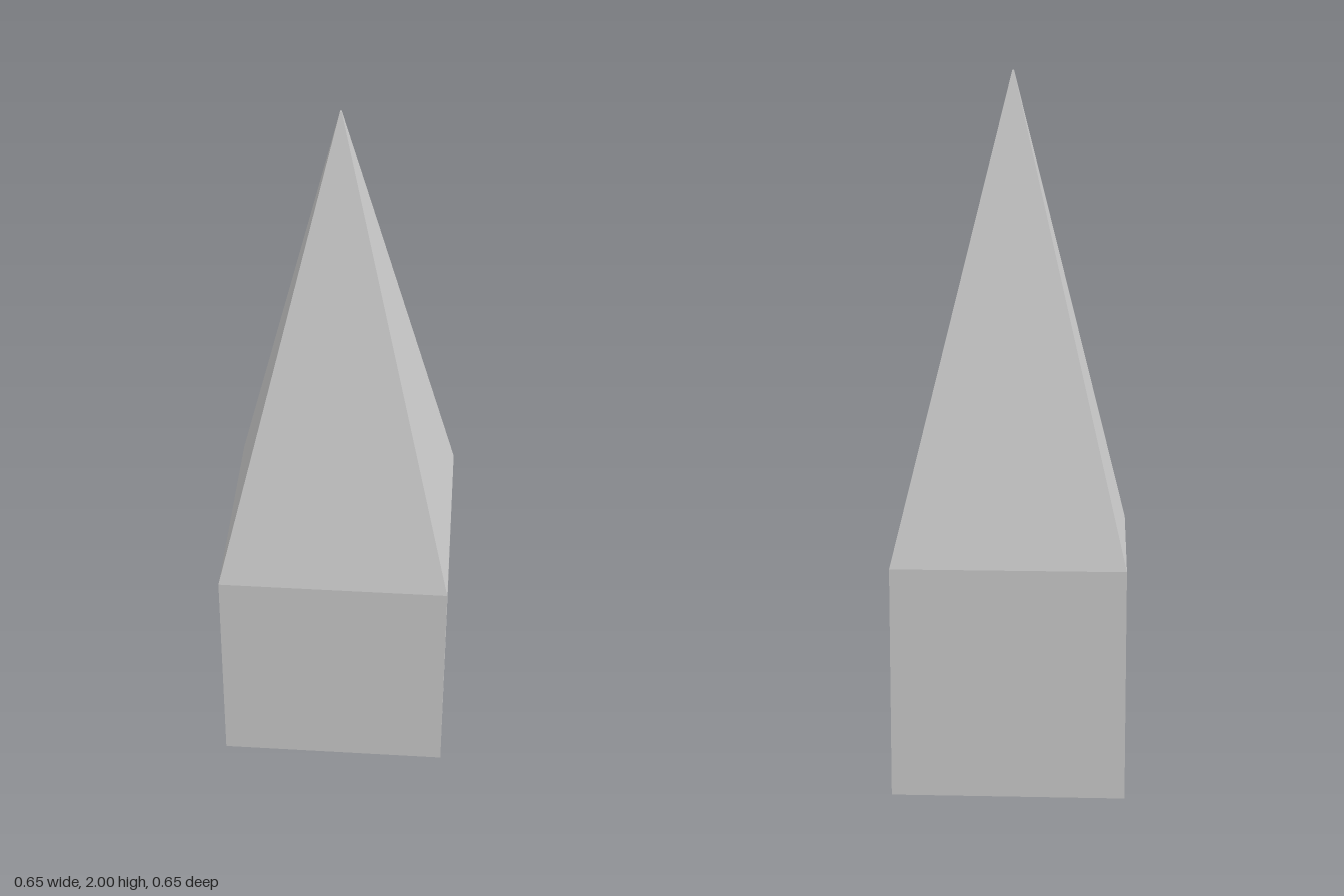
import * as THREE from 'three';

const HALF = 0.326; // half the width of the square plan
const BASE_HEIGHT = 0.653;
const TOTAL_HEIGHT = 2;

export function createModel() {
  const group = new THREE.Group();
  group.name = 'obelisk';
  const material = new THREE.MeshStandardMaterial({ color: 0xcccccc, flatShading: true });

  // Square block standing on the ground
  const baseGeometry = new THREE.BoxGeometry(2 * HALF, BASE_HEIGHT, 2 * HALF);
  baseGeometry.translate(0, BASE_HEIGHT / 2, 0);
  const base = new THREE.Mesh(baseGeometry, material);
  base.name = 'base';

  // Four-sided spire with a minute flat tip, its sides in line with the block
  const spireHeight = TOTAL_HEIGHT - BASE_HEIGHT;
  const spireGeometry = new THREE.CylinderGeometry(0.003, HALF * Math.SQRT2, spireHeight, 4);
  spireGeometry.rotateY(Math.PI / 4);
  spireGeometry.translate(0, BASE_HEIGHT + spireHeight / 2, 0);
  const spire = new THREE.Mesh(spireGeometry, material);
  spire.name = 'spire';

  group.add(base, spire);
  return group;
}
